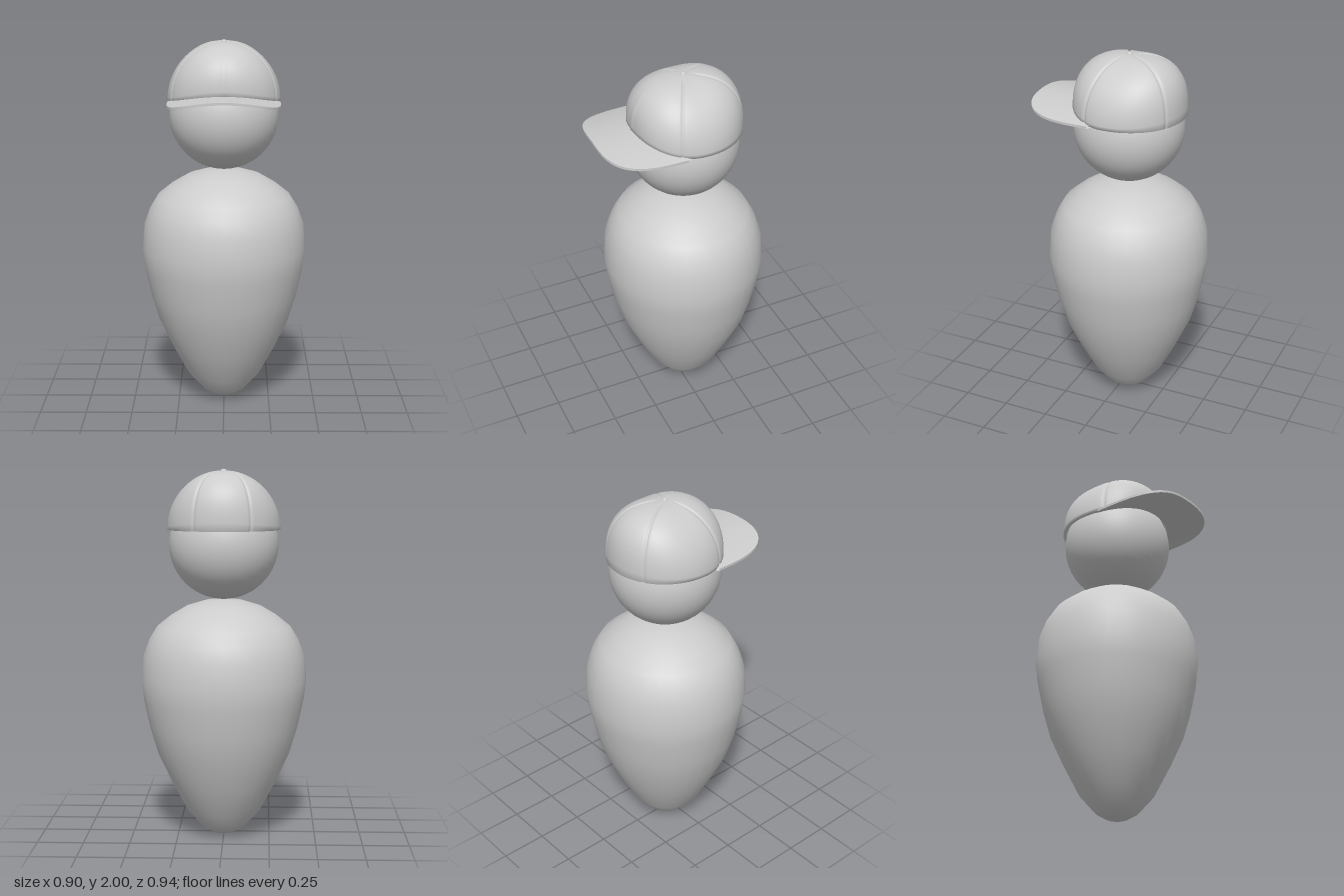
import * as THREE from 'three';

const CZ = -0.034; // shared vertical axis of body, head and cap
const RAD = Math.PI / 180;
const grey = new THREE.MeshStandardMaterial({ color: 0xcccccc, side: THREE.DoubleSide });

function mesh(name, geometry) {
  const m = new THREE.Mesh(geometry, grey);
  m.name = name;
  return m;
}

// Skin a grid of points: point(i, j) with i across and j along
function skin(cols, rows, closed, point) {
  const pos = [], idx = [];
  const n = closed ? cols : cols + 1;
  for (let j = 0; j <= rows; j++)
    for (let i = 0; i < n; i++) pos.push(...point(i, j));
  for (let j = 0; j < rows; j++)
    for (let i = 0; i < cols; i++) {
      const a = j * n + i, b = j * n + (i + 1) % n;
      idx.push(a, b, b + n, a, b + n, a + n);
    }
  const g = new THREE.BufferGeometry();
  g.setAttribute('position', new THREE.Float32BufferAttribute(pos, 3));
  g.setIndex(idx);
  g.computeVertexNormals();
  return g;
}

// Radius of a superellipse in direction t, measured from +z towards +x
const superRadius = (t, a, c, n) =>
  Math.pow(Math.pow(Math.abs(Math.sin(t)) / a, n) + Math.pow(Math.abs(Math.cos(t)) / c, n), -1 / n);

const crownRadius = (t) => Math.cos(t) > 0
  ? superRadius(t, 0.302, 0.285, 2.15) : superRadius(t, 0.302, 0.305, 2.05);

// Arched height of the brim
const brimY = (x) => 1.733 - 0.05 * Math.pow(Math.min(1, Math.abs(x) / 0.3), 1.9);

// Egg-shaped body, pointed at the bottom
function body() {
  const profile = [[0, 0.005], [0.06, 0.018], [0.115, 0.05], [0.2, 0.145], [0.285, 0.305],
    [0.36, 0.465], [0.403, 0.61], [0.435, 0.76], [0.448, 0.87], [0.435, 1.005], [0.403, 1.09],
    [0.36, 1.16], [0.285, 1.22], [0.2, 1.27], [0.1, 1.3], [0, 1.306]];
  const g = new THREE.LatheGeometry(profile.map(([r, y]) => new THREE.Vector2(r, y)), 32);
  g.scale(1, 1, 0.435 / 0.448).translate(0, 0, CZ);
  return mesh('body', g);
}

// Cap crown: boxy at front and back, round at the sides, with seam grooves
function crown() {
  const seams = [65, 151, -65, -151].map((d) => d * RAD);
  const rows = 28, cols = 288;
  const g = skin(cols, rows, true, (i, j) => {
    const t = (i / cols) * Math.PI * 2 - Math.PI;
    const cos = Math.cos(t), R = crownRadius(t);
    const base = cos > 0 ? brimY(R * Math.sin(t)) - 0.004 : 1.679;
    // The first row turns the hem inwards
    if (j === 0) return [R * 0.95 * Math.sin(t), base, CZ + R * 0.95 * cos];
    const n = 2.02 + (cos > 0 ? 0.5 : 0.88) * cos * cos;
    const s = ((j - 1) / (rows - 1)) * Math.PI / 2;
    let k = Math.pow(Math.max(0, Math.cos(s)), 2 / n);
    const up = Math.pow(Math.sin(s), 2 / n);
    const r = R * k;
    // Shallow grooves along the panel seams, fading out at the top
    let groove = 0;
    for (const a of seams) groove += Math.exp(-Math.pow(r * (t - a) / 0.007, 2));
    groove *= 0.006 * THREE.MathUtils.smoothstep(r, 0.03, 0.08);
    // Faint ridge down the middle of the front
    const ridge = 0.003 * Math.exp(-Math.pow(r * t / 0.015, 2)) * k;
    const out = r + (ridge - groove) * k;
    return [out * Math.sin(t), base + (1.991 - base) * up - groove * up, CZ + out * cos];
  });
  return mesh('capCrown', g);
}

// Curved brim with thickness: underside, edge, then upper side
function brim() {
  const steps = [0, 0.25, 0.5, 0.75, 1];
  const section = [...steps.map((v) => [v, 0]), [1, 0], [1, 1],
    ...steps.slice().reverse().map((v) => [v, 1])];
  const cols = 64;
  const g = skin(cols, section.length - 1, false, (i, j) => {
    const [v, h] = section[j];
    const u = (i / cols) * 2 - 1;
    const ti = u * 74 * RAD, to = u * Math.PI / 2;
    const ri = crownRadius(ti) * 0.96, ro = superRadius(to, 0.298, 0.4, 3.3);
    const x = THREE.MathUtils.lerp(ri * Math.sin(ti), ro * Math.sin(to), v);
    const z = THREE.MathUtils.lerp(CZ + ri * Math.cos(ti), 0.07 + ro * Math.cos(to), v);
    return [x, brimY(x) - (1 - h) * 0.013, z];
  });
  return mesh('capBrim', g);
}

export function createModel() {
  const group = new THREE.Group();
  group.name = 'figure';

  const head = mesh('head', new THREE.SphereGeometry(0.294, 40, 28));
  head.position.set(0, 1.602, CZ);

  const button = mesh('capButton', new THREE.SphereGeometry(0.017, 20, 12));
  button.scale.y = 0.6;
  button.position.set(0, 1.99, CZ);

  const cap = new THREE.Group();
  cap.name = 'cap';
  cap.add(crown(), brim(), button);

  group.add(body(), head, cap);
  return group;
}
